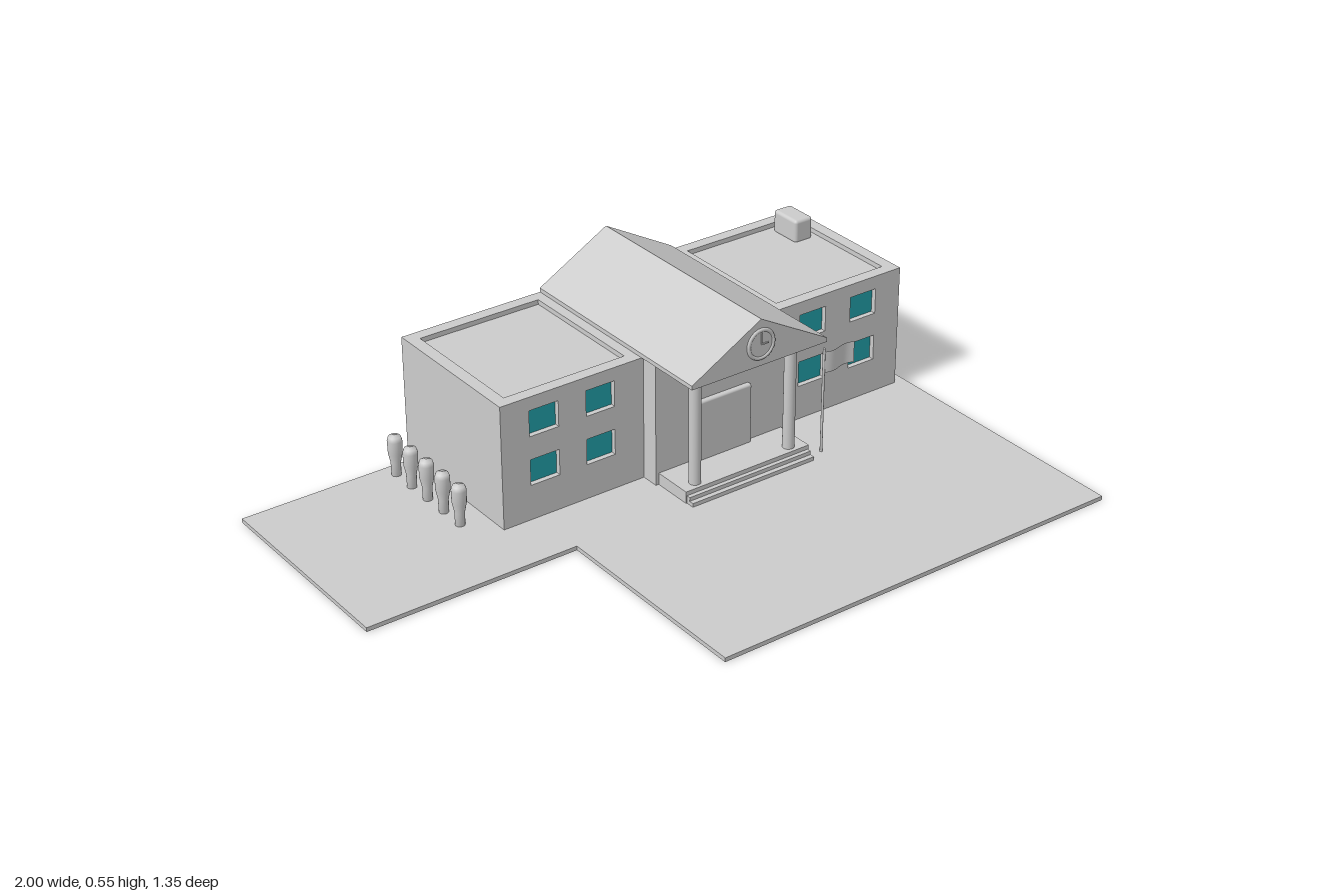
import * as THREE from 'three';
import { RoundedBoxGeometry } from 'three/addons/geometries/RoundedBoxGeometry.js';

const grey = new THREE.MeshStandardMaterial({ color: 0xcccccc });
const greyDouble = new THREE.MeshStandardMaterial({ color: 0xcccccc, side: THREE.DoubleSide });
const teal = new THREE.MeshStandardMaterial({ color: 0x22a0a8 });

const GROUND = 0.013, WALL_TOP = 0.4, DECK = 0.385;
const BACK = -0.676, WING_FRONT = -0.174, HALL_FRONT = -0.117, REVEAL = 0.02;

function add(parent, name, geometry, material = grey) {
  const mesh = new THREE.Mesh(geometry, material);
  mesh.name = name;
  parent.add(mesh);
  return mesh;
}

// Box given by its minimum and maximum on each axis
function box(parent, name, x0, x1, y0, y1, z0, z1, material) {
  const mesh = add(parent, name, new THREE.BoxGeometry(x1 - x0, y1 - y0, z1 - z0), material);
  mesh.position.set((x0 + x1) / 2, (y0 + y1) / 2, (z0 + z1) / 2);
  return mesh;
}

function roundedBox(parent, name, x0, x1, y0, y1, z0, z1, radius) {
  const mesh = add(parent, name, new RoundedBoxGeometry(x1 - x0, y1 - y0, z1 - z0, 3, radius));
  mesh.position.set((x0 + x1) / 2, (y0 + y1) / 2, (z0 + z1) / 2);
  return mesh;
}

const polygon = (points) => new THREE.Shape(points.map(([x, y]) => new THREE.Vector2(x, y)));
const rect = (x0, x1, y0, y1) => [[x0, y0], [x1, y0], [x1, y1], [x0, y1]];
const extrude = (shape, depth) => new THREE.ExtrudeGeometry(shape, { depth, bevelEnabled: false });

// Plan shape (x, -z) extruded upwards from y
function slab(parent, name, shape, y, height) {
  const geometry = extrude(shape, height).rotateX(-Math.PI / 2).translate(0, y, 0);
  return add(parent, name, geometry);
}

// Wing with recessed windows on front and back, and a parapet round a flat roof
function wing(name, x0, x1, windowXs) {
  const group = new THREE.Group();
  group.name = name;
  const coreFront = WING_FRONT - REVEAL, coreBack = BACK + REVEAL;
  box(group, 'wingCore', x0, x1, GROUND, DECK, coreBack, coreFront);

  const wall = polygon(rect(x0, x1, GROUND, DECK));
  for (const x of windowXs) {
    for (const y of [0.123, 0.277]) {
      const w = [x, x + 0.096, y, y + 0.081];
      wall.holes.push(polygon(rect(...w)));
      box(group, 'frontWindow', ...w, coreFront - 0.002, coreFront + 0.004, teal);
      box(group, 'backWindow', ...w, coreBack - 0.004, coreBack + 0.002, teal);
    }
  }
  add(group, 'frontWall', extrude(wall, REVEAL)).position.z = coreFront;
  add(group, 'backWall', extrude(wall, REVEAL)).position.z = BACK;

  const rim = polygon(rect(x0, x1, -WING_FRONT, -BACK));
  rim.holes.push(polygon(rect(x0 + 0.038, x1 - 0.038, -WING_FRONT + 0.038, -BACK - 0.038)));
  slab(group, 'parapet', rim, DECK, WALL_TOP - DECK);
  return group;
}

// Central hall with gable roof, columns, door, steps and clock
function entrance() {
  const group = new THREE.Group();
  group.name = 'entrance';
  box(group, 'hall', 0.027, 0.489, GROUND, WALL_TOP, BACK, HALL_FRONT);

  const gable = polygon([[0.021, WALL_TOP], [0.494, WALL_TOP], [0.494, 0.413], [0.2575, 0.545], [0.021, 0.413]]);
  add(group, 'gableRoof', extrude(gable, 0.058 - BACK)).position.z = BACK;

  box(group, 'porchFloor', 0.037, 0.477, GROUND, 0.05, HALL_FRONT, 0.012);
  box(group, 'upperStep', 0.04, 0.474, GROUND, 0.037, 0.012, 0.025);
  box(group, 'lowerStep', 0.04, 0.474, GROUND, 0.025, 0.012, 0.04);
  roundedBox(group, 'door', 0.163, 0.357, 0.045, 0.24, HALL_FRONT - 0.015, -0.102, 0.007);

  for (const x of [0.089, 0.425]) {
    const column = add(group, 'column', new THREE.CylinderGeometry(0.018, 0.018, 0.35, 24));
    column.position.set(x, 0.225, -0.017);
  }

  // Clock: dial, raised rim and two hands
  const clock = new THREE.Group();
  clock.name = 'clock';
  clock.position.set(0.2575, 0.468, 0.058);
  add(clock, 'dial', new THREE.CylinderGeometry(0.044, 0.044, 0.004, 32).rotateX(Math.PI / 2));
  add(clock, 'rim', new THREE.TorusGeometry(0.043, 0.006, 8, 32));
  box(clock, 'minuteHand', -0.002, 0.002, 0, 0.034, 0.001, 0.005);
  box(clock, 'hourHand', 0, 0.024, -0.002, 0.002, 0.001, 0.005);
  group.add(clock);
  return group;
}

// Pole with a gently waving flag
function flagpole() {
  const group = new THREE.Group();
  group.name = 'flagpole';
  group.position.set(0.524, 0, 0.012);
  add(group, 'pole', new THREE.CylinderGeometry(0.004, 0.004, 0.34, 12)).position.y = 0.18;
  const cloth = new THREE.PlaneGeometry(0.112, 0.067, 16, 1).translate(0.056, 0.304, 0);
  const p = cloth.attributes.position;
  for (let i = 0; i < p.count; i++) p.setZ(i, 0.006 * Math.sin((p.getX(i) / 0.112) * Math.PI * 2));
  cloth.computeVertexNormals();
  add(group, 'flag', cloth, greyDouble);
  return group;
}

export function createModel() {
  const model = new THREE.Group();
  model.name = 'schoolBuilding';

  // L-shaped forecourt
  const court = polygon([[-1, -0.013], [-0.335, -0.013], [-0.335, -0.676], [1, -0.676], [1, 0.656], [-1, 0.656]]);
  slab(model, 'forecourt', court, 0, GROUND);

  model.add(wing('rightWing', -0.449, 0.027, [-0.356, -0.168]));
  model.add(wing('leftWing', 0.489, 0.964, [0.586, 0.776]));
  model.add(entrance());
  model.add(flagpole());
  roundedBox(model, 'roofUnit', 0.84, 0.905, 0.38, 0.455, -0.62, -0.512, 0.01);

  // Row of bollards beside the right wing
  const profile = [[0, 0], [0.014, 0], [0.015, 0.055], [0.021, 0.085], [0.022, 0.125], [0.018, 0.138], [0, 0.143]];
  const bollard = new THREE.LatheGeometry(profile.map(([r, y]) => new THREE.Vector2(r, y)), 20);
  for (let i = 0; i < 5; i++) add(model, 'bollard', bollard).position.set(-0.53, 0, -0.607 + i * 0.084);

  return model;
}
